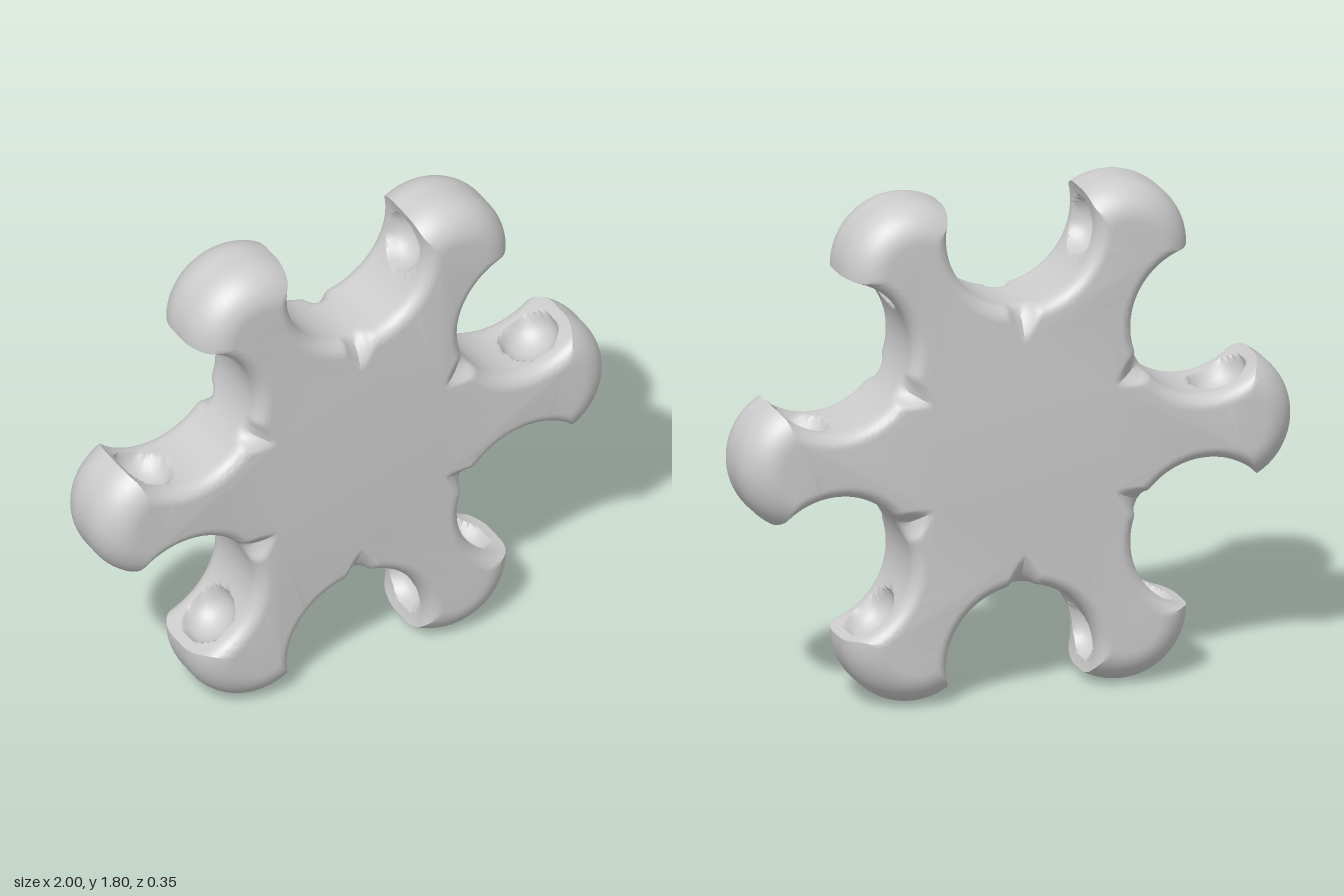
import * as THREE from 'three';
import { toCreasedNormals } from 'three/addons/utils/BufferGeometryUtils.js';

const HALF = 0.175;                       // half thickness
const NOTCH = { x: 0.667, y: 0.385, r: 0.27 };
const TIP = { x: 0.754, r: 0.246 };
const NOTCH_STEPS = 40, TIP_STEPS = 14, ROWS = 34;

// inset of a rounded edge of depth rz and width rx at height z
function roundInset(z, rz, rx) {
  const u = Math.max(0, (Math.abs(z) - (HALF - rz)) / rz);
  return rx * (1 - Math.sqrt(Math.max(0, 1 - u * u)));
}

// upper half of one arm at height z: from the crotch, along the notch, over the lip, to the tip
function halfArm(z) {
  const rn = NOTCH.r + roundInset(z, 0.055, 0.05);
  const rt = TIP.r - roundInset(z, 0.14, 0.125);

  // lip = where the notch circle meets the tip circle
  const dx = TIP.x - NOTCH.x, dy = -NOTCH.y, d = Math.hypot(dx, dy);
  const a = (d * d + rn * rn - rt * rt) / (2 * d);
  const h = Math.sqrt(Math.max(0, rn * rn - a * a));
  const lipX = NOTCH.x + (a * dx - h * dy) / d;
  const lipY = NOTCH.y + (a * dy + h * dx) / d;

  const points = [];
  const start = Math.PI * 7 / 6;
  const end = Math.atan2(lipY - NOTCH.y, lipX - NOTCH.x) + Math.PI * 2;
  for (let i = 0; i <= NOTCH_STEPS; i++) {
    const t = start + (end - start) * i / NOTCH_STEPS;
    let r = rn;
    // round socket in the arm's flank
    const q = Math.hypot((t - Math.PI * 290 / 180) * NOTCH.r, z) / 0.105;
    if (q < 1) r += 0.075 * Math.pow(1 - q * q, 0.65);
    // V-shaped nick at the crotch, next to the flat faces
    const nick = Math.max(0, 1 - (t - start) * NOTCH.r / 0.05);
    r += 0.08 * nick * Math.max(0, (Math.abs(z) - 0.1) / (HALF - 0.1));
    points.push([NOTCH.x + r * Math.cos(t), NOTCH.y + r * Math.sin(t)]);
  }
  const lipAngle = Math.atan2(lipY, lipX - TIP.x);
  for (let i = 1; i <= TIP_STEPS; i++) {
    const t = lipAngle * (1 - i / TIP_STEPS);
    points.push([TIP.x + rt * Math.cos(t), rt * Math.sin(t)]);
  }
  return points;
}

// closed counter-clockwise outline of all six arms at height z
function outline(z) {
  const half = halfArm(z);
  const arm = [
    ...half.map(([x, y]) => [x, -y]),
    ...half.slice(1, -1).reverse(),
  ];
  const ring = [];
  for (let k = 0; k < 6; k++) {
    const c = Math.cos(k * Math.PI / 3), s = Math.sin(k * Math.PI / 3);
    for (const [x, y] of arm) ring.push(new THREE.Vector2(x * c - y * s, x * s + y * c));
  }
  return ring;
}

function bodyGeometry() {
  const positions = [], index = [];
  let n = 0, ring;
  // rim, with rows packed towards the rounded edges
  for (let j = 0; j <= ROWS; j++) {
    const z = HALF * Math.sin(Math.PI * (j / ROWS - 0.5));
    ring = outline(z);
    n = ring.length;
    for (const p of ring) positions.push(p.x, p.y, z);
    if (j === 0) continue;
    for (let i = 0; i < n; i++) {
      const a = (j - 1) * n + i, b = (j - 1) * n + (i + 1) % n;
      index.push(a, b, b + n, a, b + n, a + n);
    }
  }
  // flat front and back faces
  const top = ROWS * n;
  for (const [a, b, c] of THREE.ShapeUtils.triangulateShape(ring, [])) {
    index.push(top + a, top + b, top + c, a, c, b);
  }
  const geometry = new THREE.BufferGeometry();
  geometry.setAttribute('position', new THREE.Float32BufferAttribute(positions, 3));
  geometry.setIndex(index);
  return toCreasedNormals(geometry, 0.7);
}

export function createModel() {
  const group = new THREE.Group();
  group.name = 'sixArmedConnector';
  const body = new THREE.Mesh(
    bodyGeometry(),
    new THREE.MeshStandardMaterial({ color: 0xcccccc })
  );
  body.name = 'connectorBody';
  body.position.y = TIP.x * Math.sin(Math.PI / 3) + TIP.r;
  group.add(body);
  return group;
}
